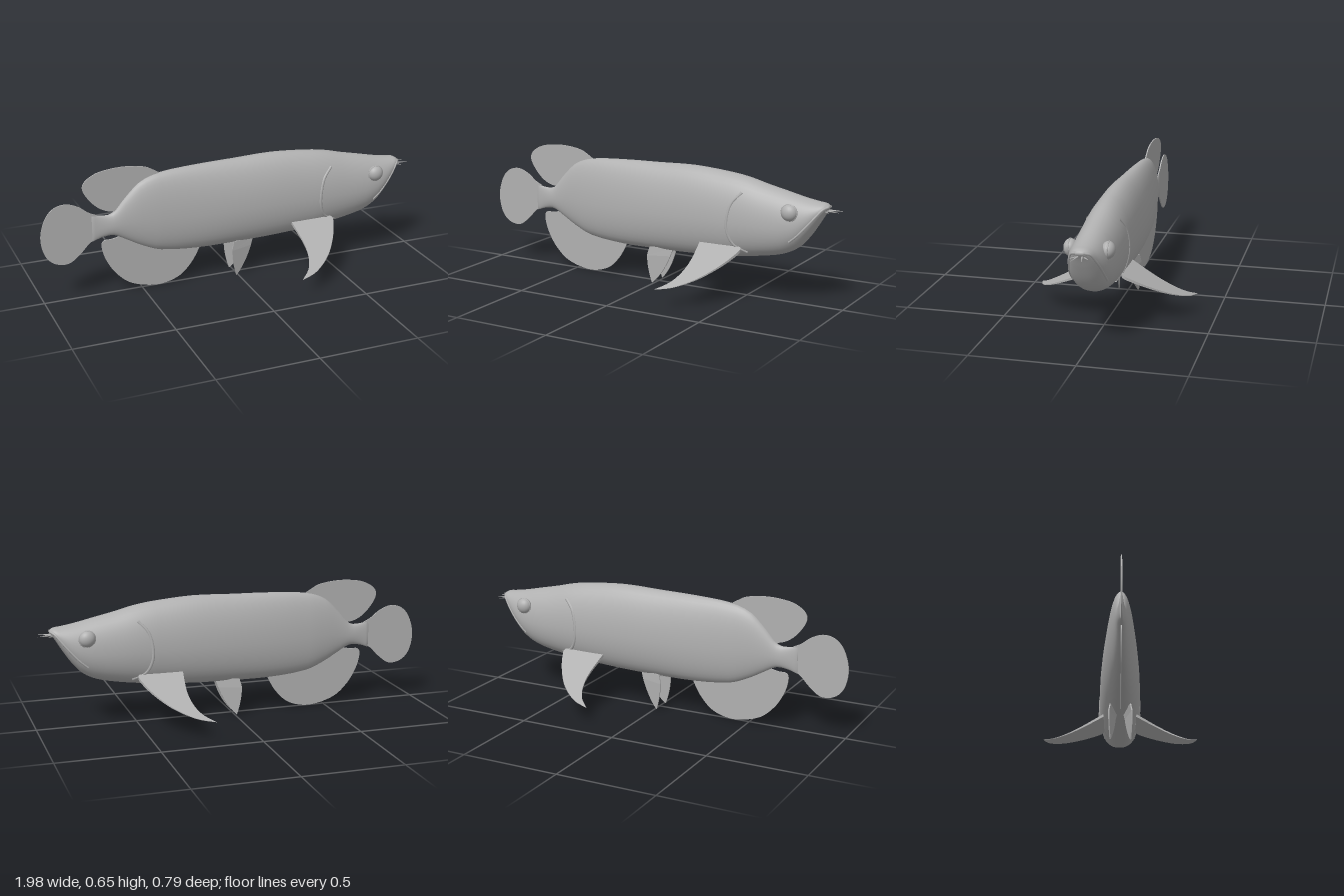
import * as THREE from 'three';

// Body stations: x, top y, bottom y, half width
const STATIONS = [
  [-0.745, 0.43, 0.29, 0.008], [-0.70, 0.42, 0.305, 0.014], [-0.64, 0.425, 0.31, 0.024],
  [-0.58, 0.49, 0.28, 0.034], [-0.50, 0.565, 0.235, 0.048], [-0.40, 0.60, 0.195, 0.062],
  [-0.20, 0.615, 0.175, 0.081], [0, 0.62, 0.175, 0.095], [0.2, 0.625, 0.18, 0.104],
  [0.4, 0.61, 0.193, 0.108], [0.5, 0.595, 0.205, 0.108], [0.6, 0.57, 0.22, 0.105],
  [0.7, 0.548, 0.243, 0.1], [0.77, 0.532, 0.28, 0.093], [0.82, 0.522, 0.335, 0.082],
  [0.87, 0.514, 0.41, 0.062], [0.9, 0.51, 0.46, 0.043], [0.918, 0.5, 0.485, 0.018],
];

// Smooth lookup of [top, bottom, width] at x
function station(x) {
  const S = STATIONS, n = S.length;
  let i = 0;
  while (i < n - 2 && x > S[i + 1][0]) i++;
  const h = S[i + 1][0] - S[i][0];
  const t = THREE.MathUtils.clamp((x - S[i][0]) / h, 0, 1);
  const slope = (j, k) => {
    const a = Math.max(j - 1, 0), b = Math.min(j + 1, n - 1);
    return (S[b][k] - S[a][k]) / (S[b][0] - S[a][0]);
  };
  return [1, 2, 3].map((k) => {
    const t2 = t * t, t3 = t2 * t;
    return S[i][k] * (2 * t3 - 3 * t2 + 1) + slope(i, k) * h * (t3 - 2 * t2 + t)
      + S[i + 1][k] * (3 * t2 - 2 * t3) + slope(i + 1, k) * h * (t3 - t2);
  });
}

const LOWER_POWER = 0.85;

// Point of the skin at x and angle a around the section
function skin(x, a) {
  const [top, bottom, w] = station(x);
  const mid = bottom + 0.45 * (top - bottom);
  const s = Math.sin(a), c = Math.cos(a);
  const width = Math.sign(c) * Math.pow(Math.abs(c), s < 0 ? LOWER_POWER : 1) * w;
  return [x, mid + s * (s > 0 ? top - mid : mid - bottom), width];
}

// Point of the left skin at a given x and y
function onSide(x, y, inset = 0) {
  const [top, bottom] = station(x);
  const mid = bottom + 0.45 * (top - bottom);
  const s = THREE.MathUtils.clamp((y - mid) / (y > mid ? top - mid : mid - bottom), -1, 1);
  const p = skin(x, Math.asin(s));
  return new THREE.Vector3(x, p[1], p[2] - inset);
}

// Lofted body, closed at both ends
function bodyGeometry() {
  const xs = [];
  for (let i = 0; i < STATIONS.length - 1; i++) {
    for (let k = 0; k < 3; k++) {
      xs.push(THREE.MathUtils.lerp(STATIONS[i][0], STATIONS[i + 1][0], k / 3));
    }
  }
  xs.push(0.918);
  const N = 40, pos = [], idx = [];
  for (const x of xs) {
    for (let j = 0; j < N; j++) pos.push(...skin(x, (j / N) * Math.PI * 2));
  }
  for (let i = 0; i < xs.length - 1; i++) {
    for (let j = 0; j < N; j++) {
      const a = i * N + j, b = i * N + (j + 1) % N;
      idx.push(a, a + N, b, b, a + N, b + N);
    }
  }
  const last = (xs.length - 1) * N, c = pos.length / 3;
  pos.push(-0.746, 0.36, 0, 0.921, 0.492, 0);
  for (let j = 0; j < N; j++) {
    const k = (j + 1) % N;
    idx.push(c, j, k, c + 1, last + k, last + j);
  }
  const g = new THREE.BufferGeometry();
  g.setAttribute('position', new THREE.Float32BufferAttribute(pos, 3));
  g.setIndex(idx);
  g.computeVertexNormals();
  return g;
}

// Closed outline: smooth through the points, straight across the root
function outline(points) {
  const v = points.map((p) => new THREE.Vector2(...p));
  const shape = new THREE.Shape().moveTo(v[0].x, v[0].y);
  shape.splineThru(v.slice(1));
  return shape;
}

// Thin blade; map(u, v, d) places each vertex, with d from -0.5 to 0.5
function blade(shape, map) {
  const g = new THREE.ExtrudeGeometry(shape, { depth: 1, bevelEnabled: false, curveSegments: 36 });
  const p = g.attributes.position;
  for (let i = 0; i < p.count; i++) p.setXYZ(i, ...map(p.getX(i), p.getY(i), p.getZ(i) - 0.5));
  g.computeVertexNormals();
  return g;
}

export function createModel() {
  const model = new THREE.Group();
  const grey = new THREE.MeshStandardMaterial({ color: 0xb0b0b0, side: THREE.DoubleSide });
  grey.name = 'plain grey';

  const add = (name, geometry) => {
    const m = new THREE.Mesh(geometry, grey);
    m.name = name;
    model.add(m);
    return m;
  };
  const addPair = (name, geometry) => {
    add(name + 'Left', geometry);
    add(name + 'Right', geometry).scale.z = -1;
  };
  const tube = (points, r) =>
    new THREE.TubeGeometry(new THREE.CatmullRomCurve3(points), 28, r, 8);

  add('body', bodyGeometry());

  // Upright fins in the middle plane
  const uprightFins = {
    dorsalFin: [[-0.38, 0.59], [-0.42, 0.615], [-0.47, 0.64], [-0.55, 0.653], [-0.63, 0.653], [-0.71, 0.64],
      [-0.765, 0.61], [-0.785, 0.575], [-0.77, 0.53], [-0.72, 0.47], [-0.66, 0.437], [-0.59, 0.43]],
    tailFin: [[-0.72, 0.425], [-0.76, 0.445], [-0.81, 0.482], [-0.87, 0.503], [-0.93, 0.49], [-0.975, 0.44],
      [-1, 0.35], [-0.985, 0.26], [-0.94, 0.207], [-0.87, 0.195], [-0.81, 0.235], [-0.76, 0.285], [-0.72, 0.305]],
    analFin: [[-0.56, 0.31], [-0.64, 0.29], [-0.69, 0.285], [-0.7, 0.25], [-0.68, 0.18], [-0.63, 0.1], [-0.55, 0.035],
      [-0.42, 0.004], [-0.31, 0.028], [-0.24, 0.09], [-0.195, 0.165], [-0.19, 0.19]],
  };
  for (const [name, points] of Object.entries(uprightFins)) {
    add(name, blade(outline(points), (u, v, d) => [u, v, d * 0.006]));
  }

  // Pectoral fins sweep outward and down, thinning to the tip
  const pectoral = new THREE.Shape().moveTo(0.28, 0.085);
  pectoral.lineTo(0.5, 0.085);
  pectoral.splineThru([[0.505, 0.11], [0.46, 0.2], [0.385, 0.295], [0.29, 0.365], [0.2, 0.395]]
    .map((p) => new THREE.Vector2(...p)));
  pectoral.splineThru([[0.255, 0.345], [0.285, 0.28], [0.293, 0.2], [0.28, 0.085]]
    .map((p) => new THREE.Vector2(...p)));
  addPair('pectoralFin', blade(pectoral, (u, v, d) =>
    [u, 0.258 - 0.55 * (v - 0.085) - d * (0.016 - 0.048 * (v - 0.085)), v]));

  // Pelvic fins hang below the belly, rear edge turned outward
  const pelvic = new THREE.Shape().moveTo(0.095, 0.195);
  pelvic.quadraticCurveTo(0.06, 0.07, -0.01, 0.004);
  pelvic.quadraticCurveTo(-0.035, 0.08, -0.035, 0.15);
  pelvic.lineTo(-0.025, 0.19);
  addPair('pelvicFin', blade(pelvic, (u, v, d) =>
    [u, v, 0.048 - 0.28 * u - 0.1 * Math.max(0, v - 0.15) + d * 0.006]));

  // Eyes
  const eye = new THREE.SphereGeometry(0.04, 24, 16);
  eye.scale(1, 1, 0.8);
  eye.translate(0.752, 0.464, 0.087);
  addPair('eye', eye);
  addPair('eyeRim', new THREE.TorusGeometry(0.039, 0.004, 6, 28).translate(0.752, 0.464, 0.09));

  // Lip ridge runs from the snout down to the jaw corner
  addPair('lip', tube([[0.917, 0.494], [0.9, 0.485], [0.87, 0.448], [0.835, 0.405], [0.79, 0.355], [0.75, 0.32]]
    .map((p) => onSide(p[0], p[1], 0.002)), 0.006));

  // Gill cover edge
  addPair('gillEdge', tube([[0.5, 0.53], [0.455, 0.48], [0.435, 0.41], [0.435, 0.34], [0.465, 0.275], [0.53, 0.24]]
    .map((p) => onSide(p[0], p[1], 0.005)), 0.009));

  // Barbels at the tip of the lower jaw
  const barbel = new THREE.ConeGeometry(0.006, 0.085, 8);
  barbel.rotateZ(-Math.PI / 2);
  barbel.rotateY(-0.2);
  barbel.translate(0.938, 0.475, 0.016);
  addPair('barbel', barbel);
  const sideBarbel = new THREE.ConeGeometry(0.005, 0.05, 8);
  sideBarbel.rotateZ(-Math.PI / 2);
  sideBarbel.rotateY(-0.75);
  sideBarbel.translate(0.918, 0.472, 0.03);
  addPair('sideBarbel', sideBarbel);

  return model;
}
